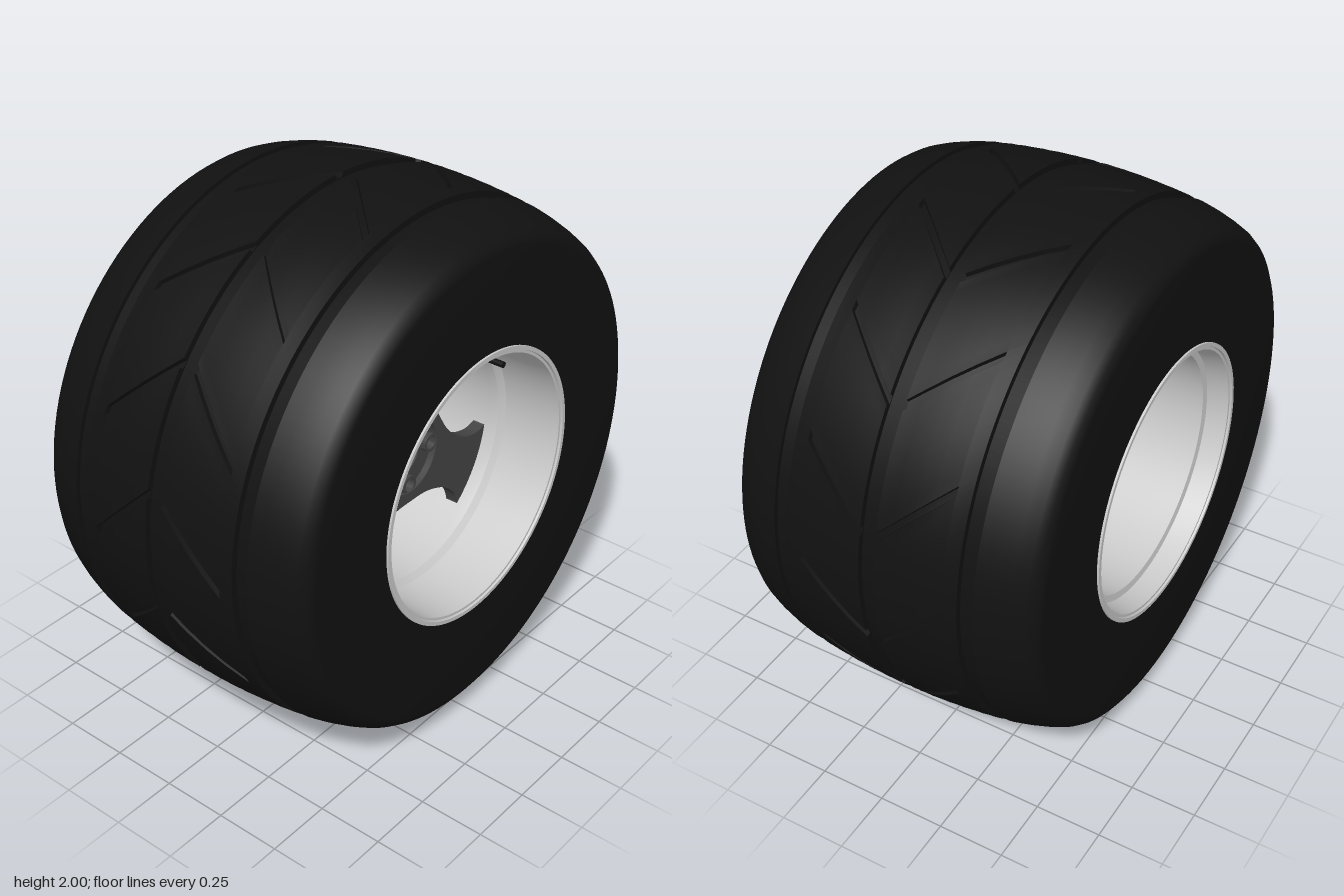
import * as THREE from 'three';
import { toCreasedNormals } from 'three/addons/utils/BufferGeometryUtils.js';

const material = (color) => new THREE.MeshStandardMaterial({ color });
const rubber = material(0x111111);
const metal = material(0xcccccc);
const darkMetal = material(0x444444);

function add(parent, name, geometry, mat) {
  const mesh = new THREE.Mesh(geometry, mat);
  mesh.name = name;
  parent.add(mesh);
  return mesh;
}

// Profile of [radius, z] turned about the z axis.
function turned(profile, segments = 96, crease = 0.5) {
  const points = profile.map(([r, z]) => new THREE.Vector2(r, z));
  const g = new THREE.LatheGeometry(points, segments).rotateX(Math.PI / 2);
  return toCreasedNormals(g, crease);
}

function extruded(shape, z0, z1) {
  const g = new THREE.ExtrudeGeometry(shape, { depth: z1 - z0, bevelEnabled: false, curveSegments: 24 });
  return toCreasedNormals(g.translate(0, 0, z0), 0.6);
}

function circle(x, y, r) {
  return new THREE.Path().absarc(x, y, r, 0, Math.PI * 2, true);
}

const boltSpots = [0, 1, 2, 3].map((i) => [0.12 * Math.cos(i * Math.PI / 2), 0.12 * Math.sin(i * Math.PI / 2)]);

// Disc with the centre bore and four bolt holes.
function hubShape(radius) {
  const s = new THREE.Shape().absarc(0, 0, radius, 0, Math.PI * 2, false);
  s.holes.push(circle(0, 0, 0.073), ...boltSpots.map(([x, y]) => circle(x, y, 0.025)));
  return s;
}

const crown = (z) => 1 - 0.2 * z * z;

// Half of the tread: a skewed grid whose columns follow the slanted grooves.
function treadBand(side) {
  const count = 14, pitch = (Math.PI * 2) / count;
  const w = 0.018, e = 0.003, depth = 0.018;
  const columns = [-w, -w + e, w - e, w];
  for (let k = 1; k < 9; k++) columns.push(w + (k / 9) * (pitch - 2 * w));
  const zs = [0.03, 0.03, 0.09, 0.15, 0.21, 0.277, 0.28, 0.33, 0.33];
  const position = [], index = [];
  const n = count * columns.length;
  zs.forEach((z, j) => {
    const wall = j === 0 || j === zs.length - 1;
    for (let i = 0; i < n; i++) {
      const c = i % columns.length;
      const inGroove = (c === 1 || c === 2) && j < 6;
      const r = wall ? 0.95 : crown(z) - (inGroove ? depth : 0);
      const phi = Math.PI / 2 + 0.01 + Math.floor(i / columns.length) * pitch + columns[c] + (z - 0.03);
      position.push(r * Math.cos(phi), r * Math.sin(phi), z * side);
    }
  });
  for (let j = 0; j < zs.length - 1; j++) {
    for (let i = 0; i < n; i++) {
      const a = j * n + i, b = j * n + ((i + 1) % n), c = b + n, d = a + n;
      if (side > 0) index.push(a, b, c, a, c, d);
      else index.push(a, c, b, a, d, c);
    }
  }
  const g = new THREE.BufferGeometry();
  g.setAttribute('position', new THREE.Float32BufferAttribute(position, 3));
  g.setIndex(index);
  return toCreasedNormals(g, 0.5);
}

// Three-spoke outline: short rim arcs joined by curved window edges.
function spokeShape() {
  const R = 0.455, half = 0.37;
  const s = new THREE.Shape();
  const edge = [[-0.285, -0.335], [-0.262, -0.285], [-0.2, -0.23], [-0.1, -0.193], [0, -0.187],
    [0.1, -0.193], [0.2, -0.23], [0.262, -0.285], [0.285, -0.335]];
  for (let k = 0; k < 3; k++) {
    const turn = (k * Math.PI * 2) / 3;
    const mid = -Math.PI / 6 + turn;
    if (k === 0) s.moveTo(R * Math.cos(mid - half), R * Math.sin(mid - half));
    s.absarc(0, 0, R, mid - half, mid + half, false);
    // This window follows the spoke, one third of a turn on from the lowest one.
    const a = turn + (Math.PI * 2) / 3;
    const points = edge.map(([x, y]) => new THREE.Vector2(x, y).rotateAround(new THREE.Vector2(), a));
    const end = mid + (Math.PI * 2) / 3 - half;
    points.push(new THREE.Vector2(R * Math.cos(end), R * Math.sin(end)));
    s.splineThru(points);
  }
  s.holes.push(circle(0, 0, 0.145));
  return s;
}

export function createModel() {
  const model = new THREE.Group();
  model.name = 'wheel';
  const wheel = new THREE.Group();
  wheel.name = 'wheelAssembly';
  wheel.position.y = 1;
  model.add(wheel);

  // Tyre carcass, with the circumferential groove floors
  const half = [[0.978, 0], [0.978, 0.045], [0.955, 0.06], [0.955, 0.385], [crown(0.385), 0.385],
    [0.958, 0.44], [0.94, 0.5], [0.922, 0.545], [0.905, 0.57], [0.885, 0.583], [0.87, 0.585], [0.51, 0.585]];
  const mirrored = half.slice(1).reverse().map(([r, z]) => [r, -z]);
  add(wheel, 'tyreCarcass', turned([...mirrored, ...half], 128), rubber);
  add(wheel, 'frontTread', treadBand(1), rubber);
  add(wheel, 'backTread', treadBand(-1), rubber);

  // Rim barrel, with a stepped lip at each end
  add(wheel, 'rim', turned([
    [0.515, -0.593], [0.515, 0.593], [0.5, 0.593], [0.498, 0.585], [0.488, 0.585], [0.482, 0.5],
    [0.476, 0.36], [0.455, 0.34], [0.45, 0.31], [0.45, -0.5], [0.475, -0.505], [0.488, -0.585],
    [0.498, -0.585], [0.5, -0.593], [0.515, -0.593],
  ]), metal);

  // Spokes and hub
  add(wheel, 'spokes', extruded(spokeShape(), 0.24, 0.29), darkMetal);
  add(wheel, 'hubFace', extruded(hubShape(0.146), 0.235, 0.265), darkMetal);
  add(wheel, 'hub', extruded(hubShape(0.155), -0.03, 0.236), metal);
  for (const [x, y] of boltSpots) {
    const boss = new THREE.Shape().absarc(x, y, 0.036, 0, Math.PI * 2, false);
    boss.holes.push(circle(x, y, 0.025));
    add(wheel, 'boltBoss', extruded(boss, 0.26, 0.285), darkMetal);
  }

  // Valve stem
  const valve = add(wheel, 'valve', new THREE.CylinderGeometry(0.012, 0.012, 0.07, 16).rotateX(Math.PI / 2), rubber);
  valve.position.set(0.395, 0.24, 0.36);

  return model;
}
